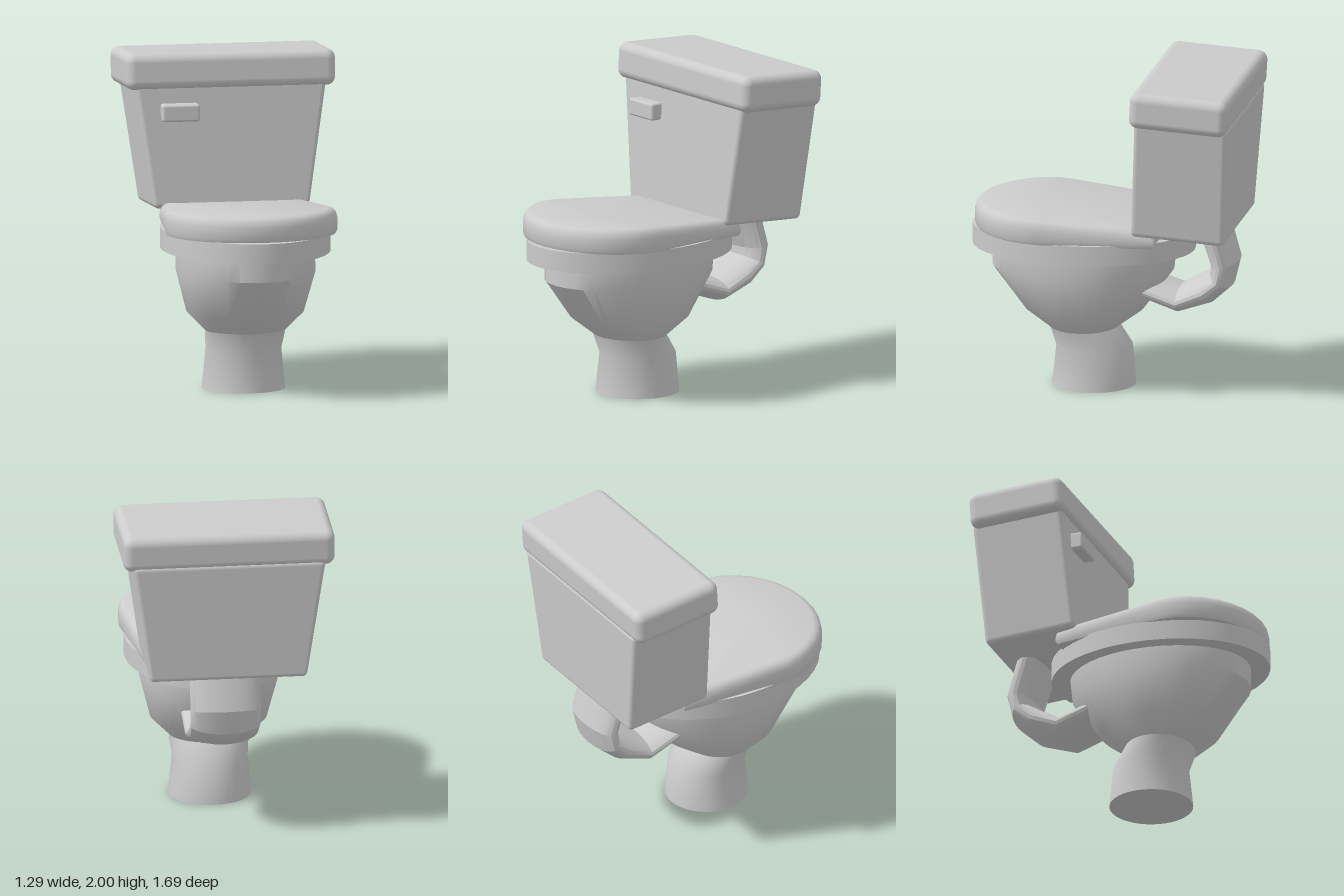
import * as THREE from 'three';
import { toCreasedNormals } from 'three/addons/utils/BufferGeometryUtils.js';
import { RoundedBoxGeometry } from 'three/addons/geometries/RoundedBoxGeometry.js';

const V = (x, y, z) => new THREE.Vector3(x, y, z);
const material = new THREE.MeshStandardMaterial({ color: 0xcccccc });
const CX = 0.01;

// Skin a stack of closed rings (anticlockwise seen from the last ring) and cap both ends.
function loft(rings, crease) {
  const n = rings[0].length, last = rings.length - 1;
  const pos = [], idx = [];
  rings.forEach(r => r.forEach(p => pos.push(p.x, p.y, p.z)));
  for (let i = 0; i < last; i++) {
    for (let j = 0; j < n; j++) {
      const k = (j + 1) % n, a = i * n + j, b = i * n + k;
      idx.push(a, b, b + n, a, b + n, a + n);
    }
  }
  for (const i of [0, last]) {
    const c = rings[i].reduce((s, p) => s.add(p), V(0, 0, 0)).divideScalar(n);
    const ci = pos.length / 3;
    pos.push(c.x, c.y, c.z);
    for (let j = 0; j < n; j++) {
      const a = i * n + j, b = i * n + (j + 1) % n;
      idx.push(ci, i ? a : b, i ? b : a);
    }
  }
  const g = new THREE.BufferGeometry();
  g.setAttribute('position', new THREE.Float32BufferAttribute(pos, 3));
  g.setIndex(idx);
  return toCreasedNormals(g, crease);
}

// Horizontal ellipse spanning from back to front.
function ellipse(y, back, front, rx, n = 40) {
  const zc = (front + back) / 2, rz = (front - back) / 2;
  return Array.from({ length: n }, (_, i) => {
    const t = i / n * Math.PI * 2;
    return V(CX + Math.cos(t) * rx, y, zc - Math.sin(t) * rz);
  });
}

// Seat lid: a D outline, tapering thinner to the back, with a rounded upper edge.
function seatLid() {
  const outline = [];
  for (let i = 0; i <= 16; i++) {
    const t = Math.PI + i / 16 * Math.PI;
    outline.push([Math.cos(t) * 0.526, 0.36 - Math.sin(t) * 0.472]);
  }
  outline.push([0.455, -0.22], [0.435, -0.35], [-0.435, -0.35], [-0.455, -0.22]);
  const top = z => 1.145 - 0.08 * Math.max(0, 0.48 - z);
  const bottom = z => 0.995 - 0.017 * (0.83 - z);
  const ring = (s, height) => outline.map(([x, z]) => {
    const pz = 0.24 + (z - 0.24) * s;
    return V(CX + x * s, height(pz), pz);
  });
  return loft([
    ring(0.985, bottom),
    ring(1, z => bottom(z) + 0.02),
    ring(1, z => top(z) - 0.06),
    ring(0.985, z => top(z) - 0.028),
    ring(0.955, z => top(z) - 0.008),
    ring(0.91, top),
  ], 0.7);
}

// Waste pipe: a wide oval section swept along a bend in the yz plane.
function wastePipe() {
  const path = [ // z, y, half thickness
    [-0.16, 0.66, 0.065], [-0.26, 0.627, 0.067], [-0.435, 0.568, 0.074], [-0.6, 0.638, 0.088],
    [-0.69, 0.71, 0.08], [-0.712, 0.81, 0.084], [-0.64, 1.05, 0.09],
  ];
  const X = V(1, 0, 0);
  const rings = path.map(([z, y, r], i) => {
    const a = path[Math.max(0, i - 1)], b = path[Math.min(path.length - 1, i + 1)];
    const N = V(0, b[1] - a[1], b[0] - a[0]).normalize().cross(X);
    return Array.from({ length: 24 }, (_, j) => {
      const t = j / 24 * Math.PI * 2;
      return V(CX + Math.cos(t) * 0.215, y, z).addScaledVector(N, Math.sin(t) * r);
    });
  });
  return loft(rings, 0.45);
}

// Tank body: rounded box narrowing towards the bottom, normals kept in step.
function tankBody() {
  const h = 0.76, g = new RoundedBoxGeometry(1.18, h, 0.575, 3, 0.03);
  const p = g.attributes.position, nrm = g.attributes.normal;
  const slope = 0.19 / h;
  for (let i = 0; i < p.count; i++) {
    const x = p.getX(i), s = 1 - slope * (h / 2 - p.getY(i));
    const n = V(nrm.getX(i) / s, nrm.getY(i) - nrm.getX(i) * x * slope / s, nrm.getZ(i)).normalize();
    p.setX(i, x * s);
    nrm.setXYZ(i, n.x, n.y, n.z);
  }
  return g.translate(0, h / 2, 0);
}

export function createModel() {
  const model = new THREE.Group();
  model.name = 'toilet';
  const add = (name, geometry, parent = model) => {
    const mesh = new THREE.Mesh(geometry, material);
    mesh.name = name;
    parent.add(mesh);
    return mesh;
  };

  // Pedestal flowing out into the bowl
  add('pedestal', loft([
    ellipse(0, -0.15, 0.36, 0.253),
    ellipse(0.24, -0.13, 0.335, 0.23),
    ellipse(0.365, -0.045, 0.375, 0.245),
  ], 0.6));
  add('bowl', loft([
    ellipse(0.365, -0.045, 0.375, 0.245),
    ellipse(0.48, -0.2, 0.53, 0.357),
    ellipse(0.735, -0.385, 0.73, 0.42),
    ellipse(0.88, -0.4, 0.73, 0.42),
  ], 0.6));
  add('rim', loft([ellipse(0.865, -0.515, 0.85, 0.513), ellipse(0.99, -0.515, 0.85, 0.513)], 0.6));
  add('seatLid', seatLid());
  add('wastePipe', wastePipe());

  // Cistern, leaning slightly back
  const tank = new THREE.Group();
  tank.name = 'tank';
  tank.position.set(0, 1.04, -0.5);
  tank.rotation.x = -0.058;
  model.add(tank);
  add('tankBody', tankBody(), tank);
  add('tankLid', new RoundedBoxGeometry(1.29, 0.222, 0.605, 4, 0.055), tank).position.set(0, 0.835, 0.013);

  // Flush handle
  add('flushHandle', new RoundedBoxGeometry(0.23, 0.105, 0.09, 3, 0.015)).position.set(-0.32, 1.643, -0.22);
  return model;
}
